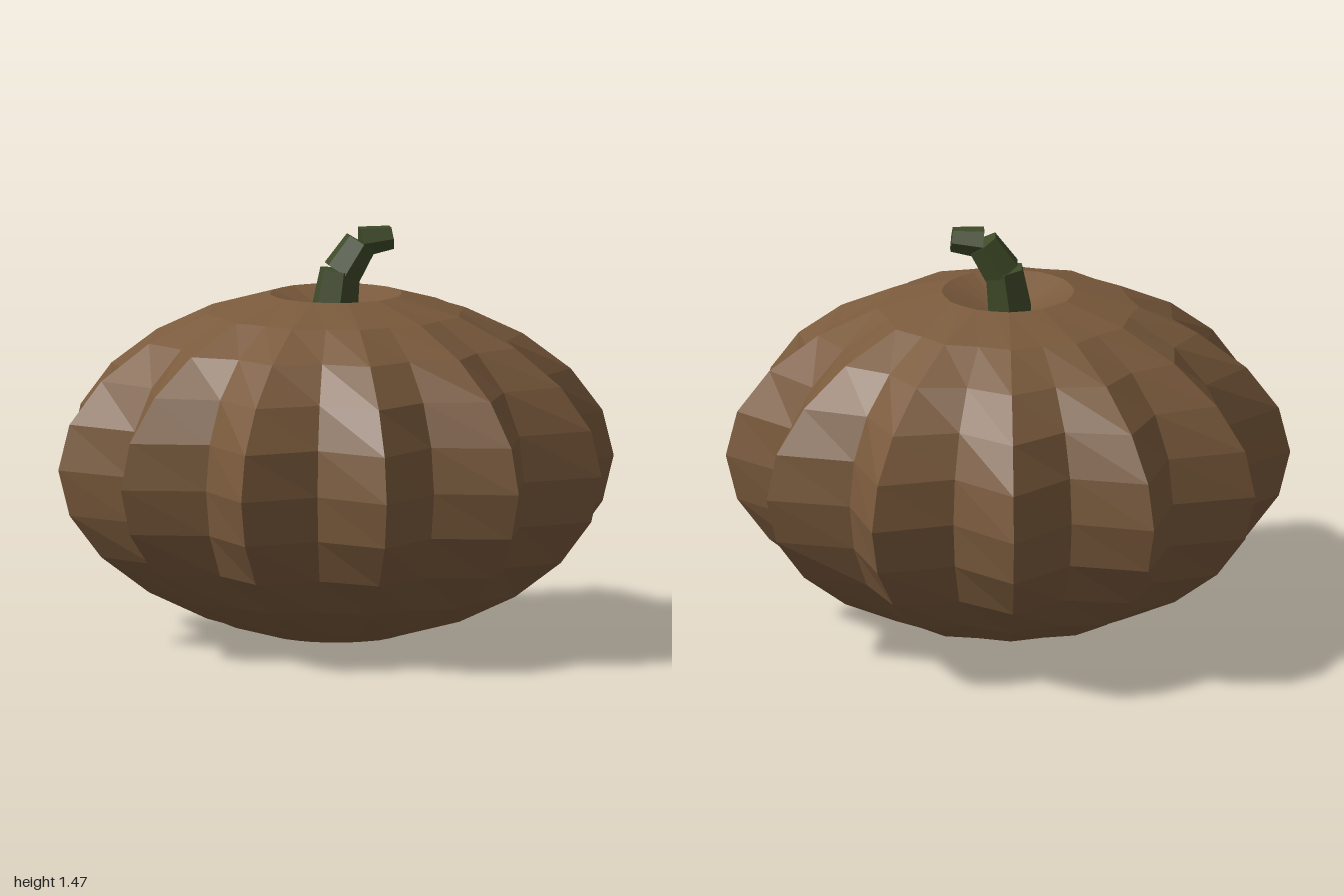
import * as THREE from 'three';

const HALF_HEIGHT = 0.63;
const RIBS = 12;

// Ribbed, flattened body: a low-poly sphere whose odd meridians are pulled inward
function bodyGeometry() {
  const columns = RIBS * 2, rows = 12;
  const geometry = new THREE.SphereGeometry(1, columns, rows);
  const p = geometry.attributes.position;
  for (let i = 0; i < p.count; i++) {
    const row = Math.floor(i / (columns + 1));
    const column = i % (columns + 1);
    const sin = Math.sin((row / rows) * Math.PI);
    const rib = column % 2 === 0 ? 1 : -1;
    const scale = 0.905 + 0.095 * rib * sin * sin;
    // The top pole sinks to form the hollow around the stem
    const y = row === 0 ? 1.14 : HALF_HEIGHT * (1 + p.getY(i));
    p.setXYZ(i, p.getX(i) * scale, y, p.getZ(i) * scale);
  }
  geometry.computeVertexNormals();
  return geometry;
}

// Tapered six-sided stem piece between two points in the x-y plane
function stemPiece(name, from, to, r0, r1, material) {
  const a = new THREE.Vector3(...from, 0);
  const b = new THREE.Vector3(...to, 0);
  const dir = b.clone().sub(a);
  const mesh = new THREE.Mesh(new THREE.CylinderGeometry(r1, r0, dir.length(), 6), material);
  mesh.position.copy(a).add(b).multiplyScalar(0.5);
  mesh.rotation.z = -Math.atan2(dir.x, dir.y);
  mesh.name = name;
  return mesh;
}

export function createModel() {
  const model = new THREE.Group();
  model.name = 'pumpkin';

  const skin = new THREE.MeshStandardMaterial({ color: 0x7a5a3c, flatShading: true });
  const green = new THREE.MeshStandardMaterial({ color: 0x3f4a28, flatShading: true });

  const body = new THREE.Mesh(bodyGeometry(), skin);
  body.name = 'body';
  model.add(body);

  // Stem bending towards +x in three steps
  const stem = new THREE.Group();
  stem.name = 'stem';
  stem.add(
    stemPiece('stemBase', [-0.01, 1.14], [0.015, 1.32], 0.09, 0.075, green),
    stemPiece('stemMiddle', [0.02, 1.31], [0.09, 1.418], 0.074, 0.062, green),
    stemPiece('stemTip', [0.09, 1.42], [0.2, 1.433], 0.058, 0.045, green),
  );
  model.add(stem);

  return model;
}
